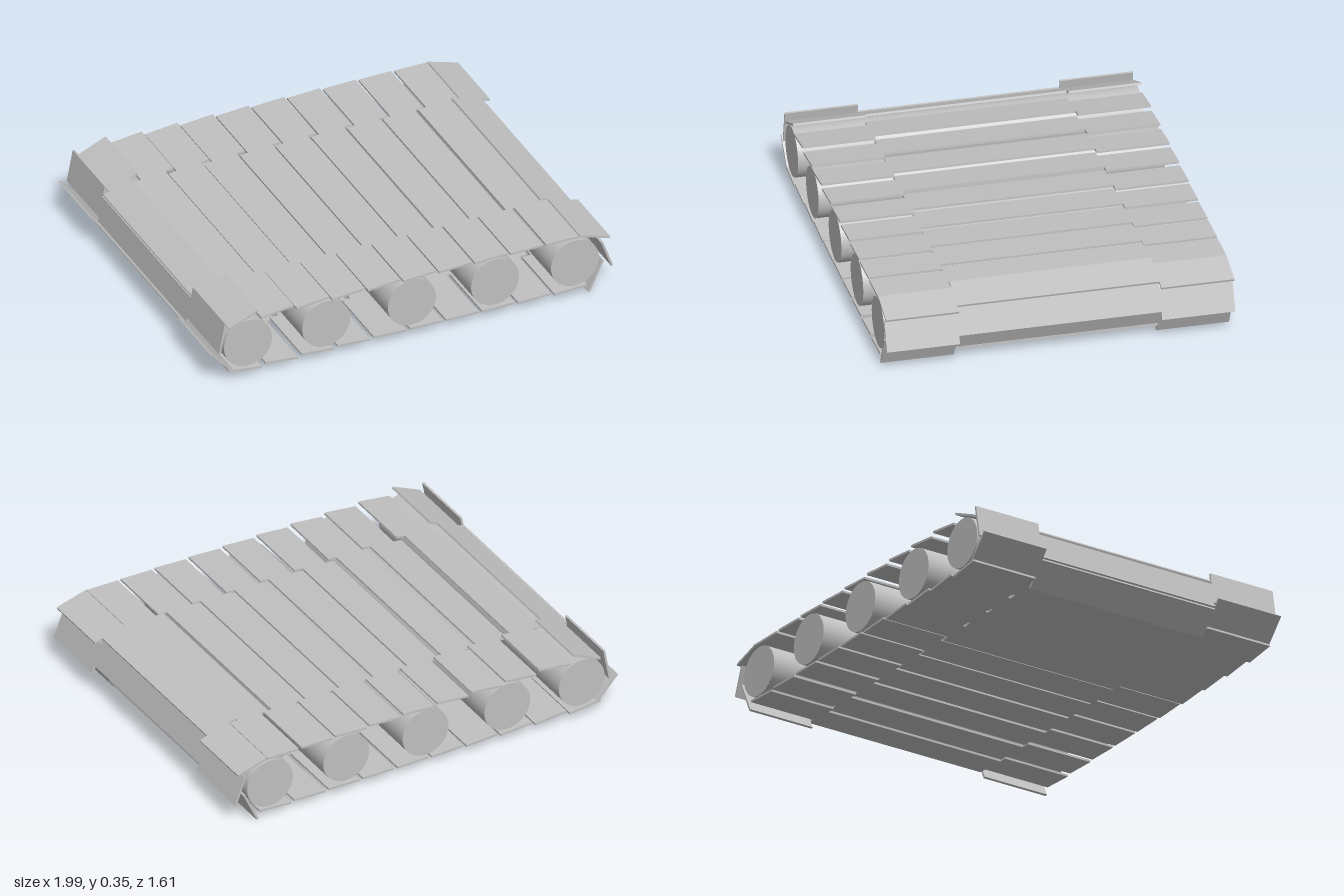
import * as THREE from 'three';

export function createModel() {
  const model = new THREE.Group();
  model.name = 'conveyorTrack';
  const steel = new THREE.MeshStandardMaterial({ color: 0xc0c0c0 });
  steel.name = 'light grey steel';

  // Rollers: x and y of each axis
  const rollerGeo = new THREE.CylinderGeometry(0.119, 0.119, 1.6, 48).rotateX(Math.PI / 2);
  const rollers = [[-0.812, 0.189], [-0.425, 0.187], [0, 0.187], [0.412, 0.185], [0.808, 0.179]];
  rollers.forEach(([x, y], i) => {
    const roller = new THREE.Mesh(rollerGeo, steel);
    roller.name = `roller${i + 1}`;
    roller.position.set(x, y, 0);
    model.add(roller);
  });

  // Slat: wide middle with both end tabs shifted forward, so neighbours interlock
  const length = 0.2, thickness = 0.01, half = 0.805, inner = 0.467;
  const tab = 0.04, mid = 0.159;
  const outline = [
    [0, -inner], [tab, -inner], [tab, -half], [length, -half], [length, -inner], [mid, -inner],
    [mid, inner], [length, inner], [length, half], [tab, half], [tab, inner], [0, inner],
  ].map(([u, v]) => new THREE.Vector2(u - length / 2, v));
  const slatGeo = new THREE.ExtrudeGeometry(new THREE.Shape(outline), { depth: thickness, bevelEnabled: false })
    .translate(0, 0, -thickness / 2)
    .rotateX(-Math.PI / 2);

  // Slat centre lines: trailing x, y then leading x, y, clockwise round the loop
  const slats = [
    [0.79, 0.330, 0.978, 0.274],
    [0.927, 0.290, 0.990, 0.120],
    [0.962, 0.198, 0.874, 0.010],
    [-0.860, 0.033, -0.995, 0.178],
    [-0.962, 0.130, -0.925, 0.325],
    [-0.942, 0.272, -0.765, 0.350],
  ];
  // Upper run, flattening towards +x
  for (let i = 0; i < 9; i++) {
    const x = -0.79 + i * 0.1765;
    const k = i / 8;
    slats.push([x, 0.302 + 0.013 * k, x + 0.202, 0.328 - 0.012 * k]);
  }
  // Lower run, travelling towards -x
  for (let i = 0; i < 10; i++) {
    const x = 0.905 - i * 0.179;
    const k = i / 9;
    slats.push([x, 0.053 - 0.011 * k, x - 0.202, 0.042 + 0.024 * k]);
  }

  slats.forEach(([x0, y0, x1, y1], i) => {
    const slat = new THREE.Mesh(slatGeo, steel);
    slat.name = `slat${i + 1}`;
    slat.position.set((x0 + x1) / 2, (y0 + y1) / 2, 0);
    slat.rotation.z = Math.atan2(y1 - y0, x1 - x0);
    slat.scale.x = Math.hypot(x1 - x0, y1 - y0) / length;
    model.add(slat);
  });

  return model;
}
